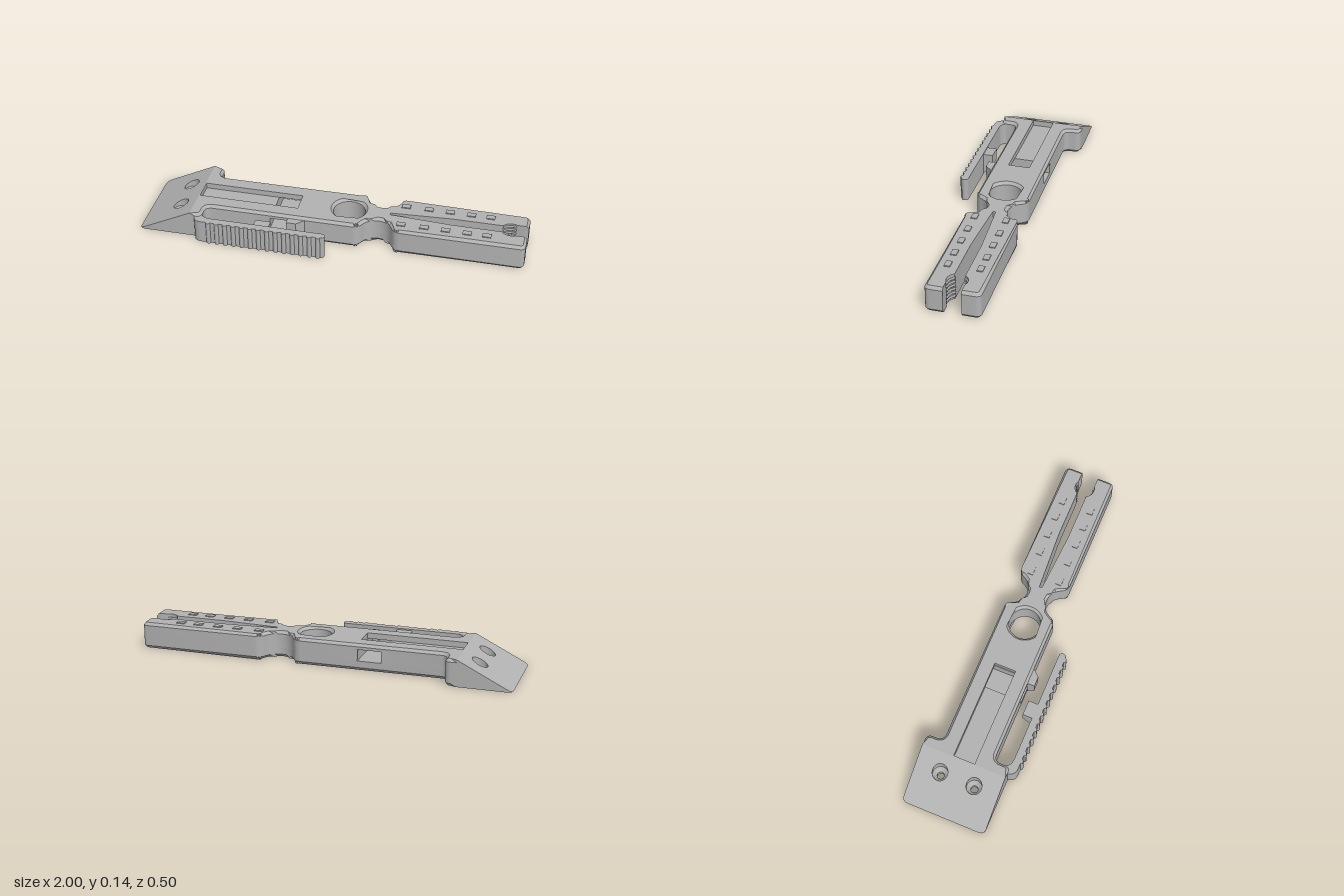
import * as THREE from 'three';
import { toCreasedNormals } from 'three/addons/utils/BufferGeometryUtils.js';

const MID = -0.025;   // z of the tool's long axis
const BEVEL = 0.013;
const HALF = 0.137;   // half width of the body
const grey = new THREE.MeshStandardMaterial({ color: 0xb2b2b2 });
grey.name = 'grey plastic';

const v2 = (x, y) => new THREE.Vector2(x, y);
const key = (x, y) => `${x.toFixed(4)},${y.toFixed(4)}`;
const mirror = pts => [...pts, ...pts.slice().reverse().map(p => v2(p.x, -p.y))];
const circle = (x, y, r, n = 40) => Array.from({ length: n }, (_, i) =>
  v2(x + r * Math.cos(i / n * 2 * Math.PI), y + r * Math.sin(i / n * 2 * Math.PI)));

// Upright extrusion through the heights ys; rule(p, layer) may move each vertex.
// Outline y points towards -z, measured from axis.
function slab(outline, holes, ys, rule = null, axis = MID) {
  const shape = new THREE.Shape(outline);
  holes.forEach(h => shape.holes.push(new THREE.Path(h)));
  const n = ys.length - 1;
  const geo = new THREE.ExtrudeGeometry(shape, { depth: n, steps: n, bevelEnabled: false });
  const pos = geo.attributes.position;
  const p = new THREE.Vector3();
  for (let i = 0; i < pos.count; i++) {
    p.fromBufferAttribute(pos, i);
    const layer = Math.round(p.z);
    p.z = ys[layer];
    if (rule) rule(p, layer);
    pos.setXYZ(i, p.x, p.z, axis - p.y);
  }
  geo.computeVertexNormals();
  return toCreasedNormals(geo, 0.5);
}

export function createModel() {
  const tool = new THREE.Group();
  tool.name = 'multiTool';
  const add = (name, geo) => {
    const mesh = new THREE.Mesh(geo, grey);
    mesh.name = name;
    tool.add(mesh);
    return mesh;
  };

  // Outer half outline: head shoulder, body, waist and jaw
  const edge = new THREE.Path();
  edge.moveTo(-0.72, 0.225);
  edge.lineTo(-0.69, 0.225);
  edge.quadraticCurveTo(-0.66, 0.225, -0.66, 0.195);
  edge.lineTo(-0.66, 0.175);
  edge.quadraticCurveTo(-0.66, HALF, -0.62, HALF);
  edge.lineTo(0.115, HALF);
  edge.quadraticCurveTo(0.15, HALF, 0.165, 0.1);
  edge.bezierCurveTo(0.195, 0.04, 0.285, 0.04, 0.315, 0.1);
  edge.quadraticCurveTo(0.33, HALF, 0.365, HALF);
  edge.lineTo(0.97, HALF);
  edge.quadraticCurveTo(1, HALF, 1, 0.107);
  edge.lineTo(1, 0.045);
  const outer = edge.getPoints(8);

  // Inner jaw edge: mouth, round grip and tapering slot
  const inner = [];
  for (let i = 0; i <= 10; i++) {
    const a = (60 + 9 * i) * Math.PI / 180;
    inner.push(v2(0.915 + 0.052 * Math.cos(a), 0.052 * Math.sin(a)));
  }
  inner.push(v2(0.61, 0.026), v2(0.29, 0.007));
  const ring = circle(0.075, 0, 0.083);

  // Chamfer offsets for the outer edge and the ring hole
  const inset = new Map();
  outer.forEach((p, i) => {
    if (i === 0) return;
    const n = v2(0, 0);
    [[outer[i - 1], p], [p, outer[i + 1]]].forEach(([a, b]) => {
      if (!a || !b) return;
      const d = b.clone().sub(a).normalize();
      n.add(v2(-d.y, d.x));
    });
    n.normalize().multiplyScalar(-BEVEL);
    inset.set(key(p.x, p.y), n);
    inset.set(key(p.x, -p.y), v2(n.x, -n.y));
  });
  ring.forEach(p => inset.set(key(p.x, p.y), v2(p.x - 0.075, p.y).setLength(BEVEL)));
  const chamfer = at => (p, layer) => {
    const d = layer === at && inset.get(key(p.x, p.y));
    if (d) { p.x += d.x; p.y += d.y; }
  };

  // Body in three levels: floor, middle with a cross tunnel, top with a recess
  const whole = mirror([...outer, ...inner]);
  const recess = [v2(-0.715, -0.057), v2(-0.187, -0.057), v2(-0.187, 0.057), v2(-0.715, 0.057)];
  add('bodyFloor', slab(whole, [ring], [0, 0.015, 0.05], chamfer(0)));
  add('bodyMiddleRear', slab(
    mirror([...outer.filter(p => p.x < -0.5), v2(-0.315, HALF)]), [], [0.05, 0.11]));
  add('bodyMiddleFore', slab(
    mirror([v2(-0.19, HALF), ...outer.filter(p => p.x > -0.1), ...inner]), [ring], [0.05, 0.11]));
  add('bodyTop', slab(whole, [ring, recess], [0.11, 0.125, 0.14], chamfer(2)));

  // Wedge head with two countersunk screw holes
  const head = new THREE.Path();
  head.moveTo(-0.72, 0.225);
  head.lineTo(-0.97, 0.225);
  head.quadraticCurveTo(-1, 0.225, -1, 0.195);
  const screws = [0.0925, -0.0925];
  add('wedgeHead', slab(mirror(head.getPoints(6)), screws.map(y => circle(-0.81, y, 0.04, 28)),
    [0, 0.03, 0.055, 0.14], (p, layer) => {
      p.z = Math.min(p.z, Math.max(0, (p.x + 1) * 0.5));
      const cy = Math.sign(p.y) * 0.0925;
      const dx = p.x + 0.81, dy = p.y - cy;
      if (layer < 2 && Math.hypot(dx, dy) < 0.045) {
        p.x = -0.81 + dx * 0.45;
        p.y = cy + dy * 0.45;
      }
    }));

  // Spring lever along the front side (drawn in x, -z)
  const lever = new THREE.Path();
  lever.moveTo(-0.72, -0.16);
  lever.lineTo(-0.662, -0.16);
  lever.quadraticCurveTo(-0.66, -0.203, -0.61, -0.203);
  lever.lineTo(-0.02, -0.203);
  lever.quadraticCurveTo(0, -0.203, 0, -0.221);
  lever.quadraticCurveTo(0, -0.24, -0.02, -0.24);
  lever.lineTo(-0.65, -0.24);
  lever.quadraticCurveTo(-0.69, -0.238, -0.695, -0.2);
  lever.lineTo(-0.72, -0.2);
  add('springLever', slab(lever.getPoints(8), [], [0, 0.125], null, 0));
  for (let i = 0; i < 14; i++) {
    const rib = add('gripRib', new THREE.CylinderGeometry(0.012, 0.012, 0.125, 12));
    rib.position.set(-0.61 + i * 0.0445, 0.0625, 0.238);
  }

  // Latch block on the lever and catch on the body, both with sloped undersides
  add('latchBlock', slab(
    [v2(-0.38, -0.205), v2(-0.3, -0.205), v2(-0.3, -0.152), v2(-0.38, -0.152)], [], [0, 0.118],
    (p, layer) => { if (layer === 0 && p.y > -0.18) p.z = 0.055; }, 0));
  add('bodyCatch', slab(
    [v2(-0.22, -0.15), v2(-0.168, -0.15), v2(-0.13, -0.11), v2(-0.22, -0.11)], [], [0, 0.125],
    (p, layer) => { if (layer === 0 && p.y < -0.13) p.z = 0.055; }, 0));

  // Slanted thread ridges inside the round grip
  for (let i = 0; i < 6; i++) {
    for (const start of [1.1, 1.1 + Math.PI - 0.65]) {
      const ridge = add('threadRidge', new THREE.TorusGeometry(0.051, 0.007, 4, 12, 1.5)
        .rotateZ(start).rotateX(-Math.PI / 2));
      ridge.rotation.x = 0.1;
      ridge.position.set(0.915, 0.02 + i * 0.02, MID);
    }
  }

  // Plain raised gauge marks along both jaws
  for (const x of [0.36, 0.48, 0.59, 0.7, 0.8]) {
    for (const side of [-1, 1]) {
      const mark = add('gaugeMark', new THREE.BoxGeometry(0.045, 0.006, 0.03));
      mark.position.set(x, 0.142, MID + side * 0.08);
    }
  }
  return tool;
}
